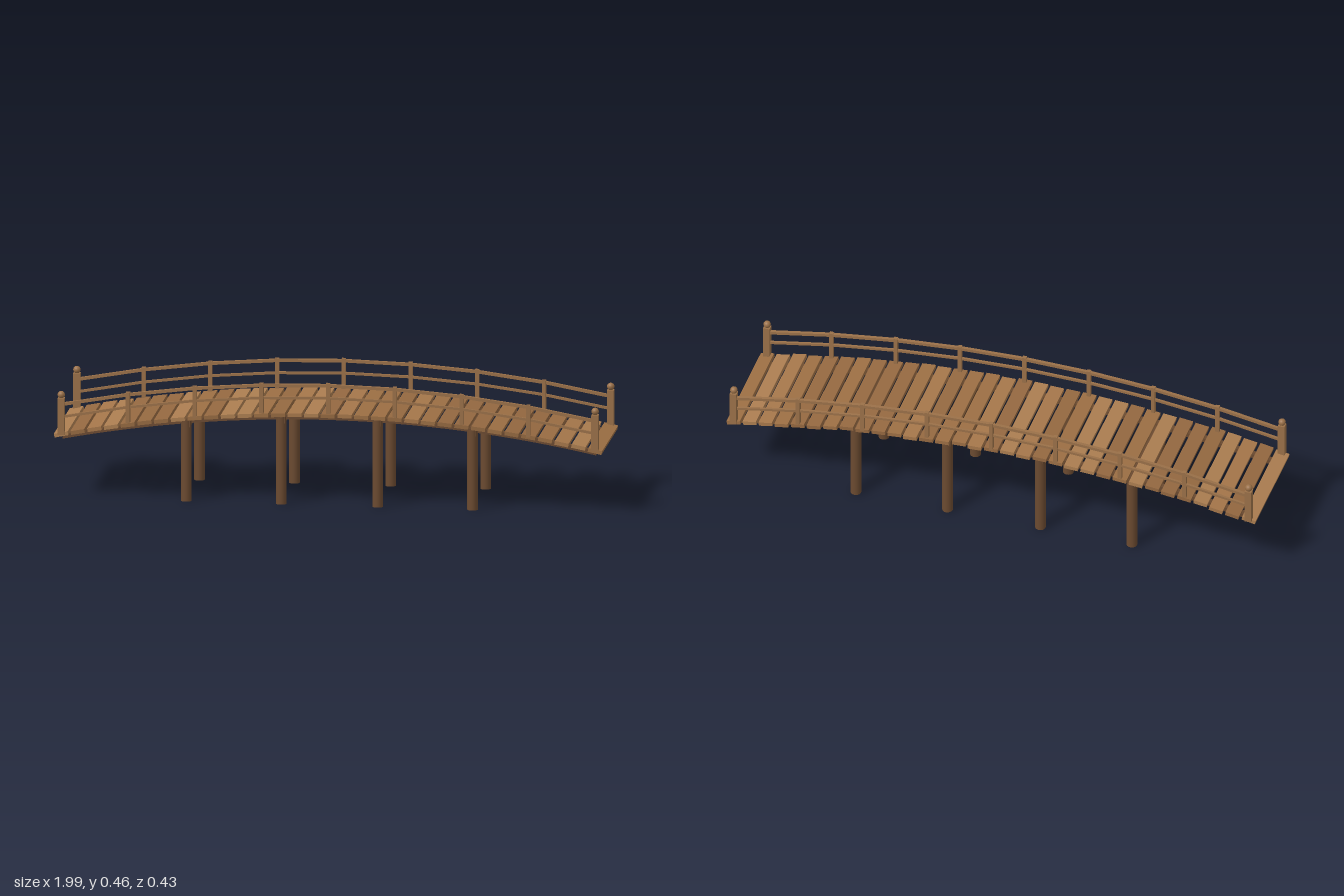
import * as THREE from 'three';

const HALF = 0.97; // x of the end planks and end posts
const deckY = x => 0.338 - 0.1 * (x / HALF) ** 2; // centre line of the planks
const slope = x => Math.atan(-0.2 * x / HALF ** 2);

// Small seeded generator for hand-cut irregularity, from -1 to 1
function seeded(seed) {
  let s = seed;
  return () => {
    s = (s * 16807) % 2147483647;
    return (s / 2147483647) * 2 - 1;
  };
}

export function createModel() {
  const bridge = new THREE.Group();
  bridge.name = 'archedFootbridge';
  const wood = color => new THREE.MeshStandardMaterial({ color });
  const plankWoods = [0xa5764a, 0x9b6e43, 0xab7d50, 0x946840].map(wood);
  const railWood = wood(0x9a7048);
  const postWood = wood(0x9a7048);
  const darkWood = wood(0x6b4a30);

  const add = (parent, name, geometry, material, x, y, z, tilt = 0) => {
    const mesh = new THREE.Mesh(geometry, material);
    mesh.name = name;
    mesh.position.set(x, y, z);
    mesh.rotation.z = tilt;
    parent.add(mesh);
    return mesh;
  };
  const group = name => {
    const g = new THREE.Group();
    g.name = name;
    bridge.add(g);
    return g;
  };

  // Deck planks following the arch
  const deck = group('deck');
  const rand = seeded(4711);
  const planks = 33;
  for (let i = 0; i < planks; i++) {
    const x = -HALF + (2 * HALF * i) / (planks - 1);
    const length = 0.422 + 0.008 * rand();
    const material = plankWoods[Math.floor((rand() * 0.5 + 0.5) * 3.99)];
    add(deck, 'plank', new THREE.BoxGeometry(0.051, 0.014, length), material,
      x, deckY(x), 0.004 * rand(), slope(x));
  }

  // Curved stringers under the planks
  const band = new THREE.Shape();
  const steps = 32;
  for (let i = 0; i <= steps; i++) {
    const x = -HALF + (2 * HALF * i) / steps;
    if (i === 0) band.moveTo(x, deckY(x) - 0.023);
    else band.lineTo(x, deckY(x) - 0.023);
  }
  for (let i = steps; i >= 0; i--) {
    const x = -HALF + (2 * HALF * i) / steps;
    band.lineTo(x, deckY(x) - 0.006);
  }
  const stringer = new THREE.ExtrudeGeometry(band, { depth: 0.022, bevelEnabled: false });
  stringer.translate(0, 0, -0.011);
  for (const side of [1, -1]) add(bridge, 'stringer', stringer, darkWood, 0, 0, side * 0.164);

  // Round piles joined in pairs by cross beams
  const supports = group('supports');
  for (const x of [-0.52, -0.175, 0.175, 0.52]) {
    const top = deckY(x) - 0.012;
    for (const side of [1, -1]) {
      add(supports, 'pile', new THREE.CylinderGeometry(0.0195, 0.0195, top, 16), darkWood,
        x, top / 2, side * 0.17);
    }
    add(supports, 'crossBeam', new THREE.BoxGeometry(0.03, 0.026, 0.37), darkWood,
      x, deckY(x) - 0.022, 0);
  }

  // Railings: knobbed end posts, slim inner posts, two rails
  const postXs = Array.from({ length: 9 }, (_, i) => -HALF + (2 * HALF * i) / 8);
  for (const side of [1, -1]) {
    const railing = group(side > 0 ? 'frontRailing' : 'backRailing');
    const z = side * 0.202;
    postXs.forEach((x, i) => {
      const y = deckY(x);
      if (i === 0 || i === 8) {
        add(railing, 'endPost', new THREE.BoxGeometry(0.025, 0.134, 0.025), postWood, x, y + 0.067, z);
        add(railing, 'postKnob', new THREE.SphereGeometry(0.0135, 16, 12), postWood, x, 0.384, z);
      } else {
        add(railing, 'post', new THREE.BoxGeometry(0.0145, 0.119, 0.0145), postWood, x, y + 0.0595, z);
      }
      if (i === 8) return;
      // Straight rail pieces spanning to the next post
      const x2 = postXs[i + 1];
      const dy = deckY(x2) - y;
      const length = Math.hypot(x2 - x, dy);
      for (const [name, lift, height, depth] of [
        ['topRail', 0.11, 0.011, 0.012],
        ['lowerRail', 0.064, 0.009, 0.009],
      ]) {
        add(railing, name, new THREE.BoxGeometry(length, height, depth), railWood,
          (x + x2) / 2, y + dy / 2 + lift, z, Math.atan2(dy, x2 - x));
      }
    });
  }
  return bridge;
}
